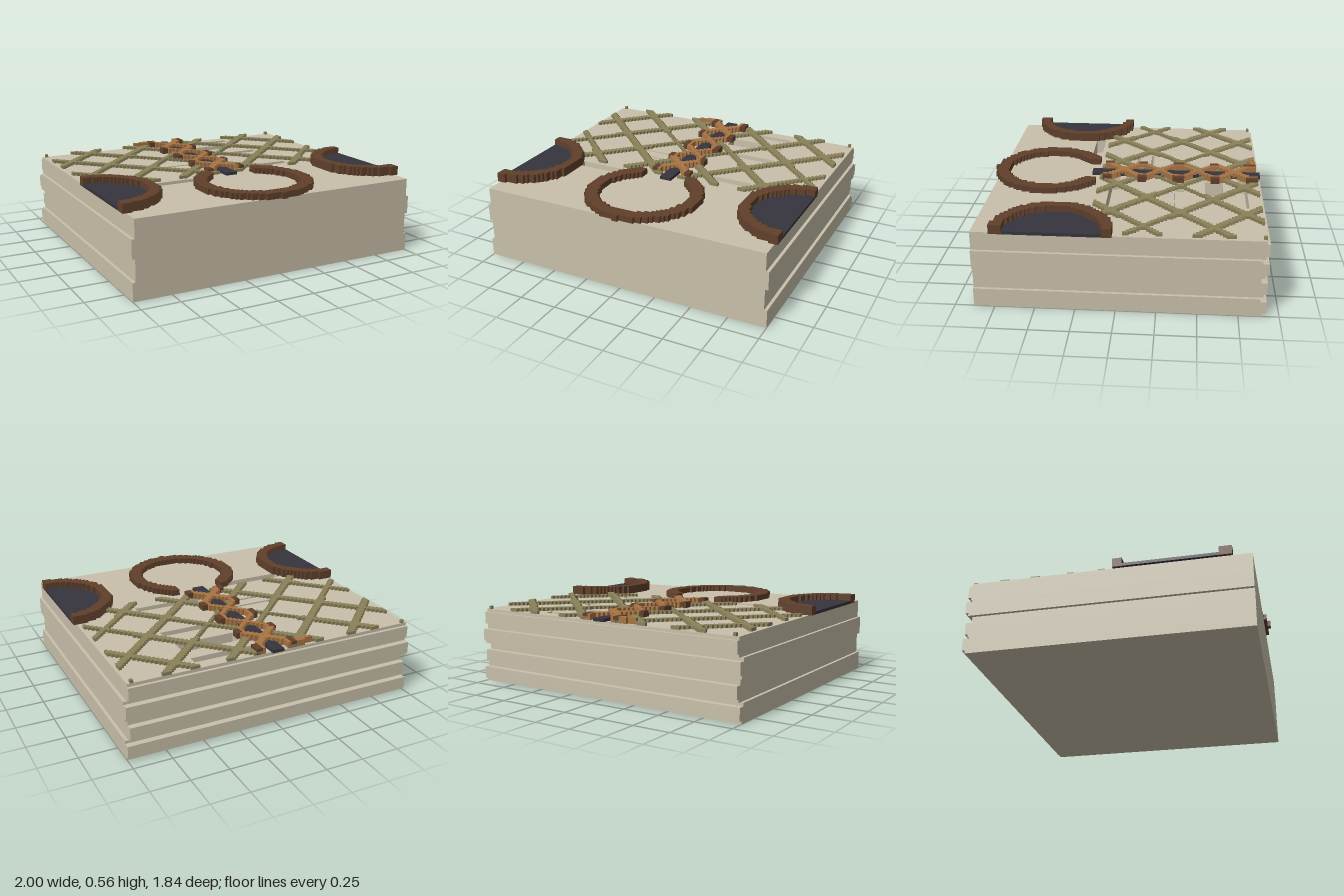
import * as THREE from 'three';
import { mergeGeometries } from 'three/addons/utils/BufferGeometryUtils.js';

const CELL = 0.02;

function material(name, color) {
  const m = new THREE.MeshStandardMaterial({ color });
  m.name = name;
  return m;
}

// Fills every grid cell accepted by the rule, joining cells of a row into one box
function voxels(name, mat, [x0, x1], [z0, z1], [y0, y1], inside) {
  const boxes = [];
  const nx = Math.round((x1 - x0) / CELL), nz = Math.round((z1 - z0) / CELL);
  for (let k = 0; k < nz; k++) {
    const z = z0 + (k + 0.5) * CELL;
    let start = -1;
    for (let i = 0; i <= nx; i++) {
      const on = i < nx && inside(x0 + (i + 0.5) * CELL, z);
      if (on && start < 0) start = i;
      if (!on && start >= 0) {
        const g = new THREE.BoxGeometry((i - start) * CELL, y1 - y0, CELL);
        g.translate(x0 + (start + i) * CELL / 2, (y0 + y1) / 2, z);
        boxes.push(g);
        start = -1;
      }
    }
  }
  const mesh = new THREE.Mesh(mergeGeometries(boxes), mat);
  mesh.name = name;
  return mesh;
}

// Distance from a value to the nearest multiple of a period
const toNearest = (v, period) => Math.abs(v - Math.round(v / period) * period);

export function createModel() {
  const group = new THREE.Group();
  const stone = material('sandstone', 0xc9c0aa);
  const dark = material('charcoal', 0x36343c);
  const brown = material('dark brown', 0x60402b);
  const tan = material('copper brown', 0xa87444);
  const olive = material('olive', 0x8a8159);

  // Slots sunk into the top: x0, x1, z0, z1
  const slots = [
    [0.06, 0.52, -0.82, -0.76], [0.12, 0.52, -0.66, -0.54],
    [0.06, 0.54, -0.40, -0.34], [0.06, 0.54, 0.04, 0.10],
    [-0.38, -0.06, -0.18, -0.16], [-0.32, -0.06, -0.08, -0.06],
    [-0.66, -0.18, 0.21, 0.28],
  ];
  const rectangle = (P, x0, x1, z0, z1) => {
    const p = new P();
    p.moveTo(x0, -z1).lineTo(x1, -z1).lineTo(x1, -z0).lineTo(x0, -z0).closePath();
    return p;
  };

  // Base slab in layers: bottom, top, half width, back edge
  const layers = [
    [0, 0.02, 1, -0.90], [0.02, 0.10, 1, -0.92], [0.10, 0.12, 1, -0.88],
    [0.12, 0.14, 0.98, -0.90], [0.14, 0.22, 0.98, -0.92], [0.22, 0.24, 0.98, -0.88],
    [0.24, 0.26, 0.98, -0.88], [0.26, 0.28, 1, -0.90], [0.28, 0.36, 1, -0.92],
    [0.36, 0.38, 1, -0.88], [0.38, 0.40, 0.98, -0.90], [0.40, 0.48, 0.98, -0.92],
    [0.48, 0.50, 0.98, -0.90],
  ];
  const base = new THREE.Group();
  base.name = 'base';
  for (const [y0, y1, w, back] of layers) {
    const shape = rectangle(THREE.Shape, -w, w, back, 0.88);
    if (y0 >= 0.4) for (const s of slots) shape.holes.push(rectangle(THREE.Path, ...s));
    const g = new THREE.ExtrudeGeometry(shape, { depth: y1 - y0, bevelEnabled: false });
    g.rotateX(-Math.PI / 2).translate(0, y0, 0);
    const layer = new THREE.Mesh(g, stone);
    layer.name = 'baseLayer';
    base.add(layer);
  }
  group.add(base);

  // Half-round pools with raised rims at both sides
  const poolZ = 0.385;
  const poolDistance = (x, z) => Math.hypot(1 - Math.abs(x), z - poolZ);
  for (const side of [-1, 1]) {
    const xr = side < 0 ? [-1, -0.6] : [0.6, 1];
    group.add(voxels('poolRim', brown, xr, [0, 0.8], [0.5, 0.56], (x, z) => {
      const d = poolDistance(x, z);
      return d < 0.37 && d >= 0.3;
    }));
    group.add(voxels('poolFloor', dark, xr, [0, 0.8], [0.5, 0.52],
      (x, z) => poolDistance(x, z) < 0.3));
  }

  // Open ring at the front
  group.add(voxels('frontRing', brown, [-0.4, 0.4], [0.1, 0.92], [0.5, 0.54], (x, z) => {
    const d = Math.hypot(x, z - 0.525);
    const nub = Math.abs(x) < 0.02 && z > 0.88;
    return nub || (d < 0.382 && d >= 0.3 && (z > 0.3 || (Math.abs(x) > 0.16 && z > 0.2)));
  }));

  // Diagonal lattice on the top
  const pitch = 0.4267;
  group.add(voxels('lattice', olive, [-0.96, 0.96], [-0.9, 0.18], [0.5, 0.52], (x, z) => {
    const ax = Math.abs(x);
    if (ax < 0.06 || poolDistance(x, z) < 0.37) return false;
    const thin = (ax > 0.72 && z > -0.45) || (ax < 0.4 && z > -0.55 && z < -0.22);
    const d = Math.min(toNearest(x - z - 0.16, pitch), toNearest(x + z + 0.16, pitch));
    return d < (thin ? 0.017 : 0.031);
  }));

  // Dark strip down the middle
  group.add(voxels('centreStrip', dark, [-0.04, 0.04], [-0.92, 0.24], [0.5, 0.52], () => true));

  // Two crossing strands with dark outer knots
  const knot = (x, z) => Math.abs(x) > 0.1 && toNearest(z + 0.74, 0.253) > 0.09;
  const strand = (x, z) => {
    const d = toNearest(z + 0.74, 0.253);
    return Math.abs(Math.abs(x) - Math.min(d, 0.11)) < 0.024;
  };
  group.add(voxels('strands', tan, [-0.16, 0.16], [-0.9, 0.16], [0.5, 0.54],
    (x, z) => strand(x, z) && !knot(x, z)));
  group.add(voxels('strandKnots', brown, [-0.14, 0.14], [-0.9, 0.16], [0.5, 0.54], knot));
  group.add(voxels('strandTail', tan, [-0.26, -0.14], [-0.9, -0.86], [0.5, 0.54],
    (x, z) => z < -0.88 ? x > -0.2 : true));

  return group;
}
